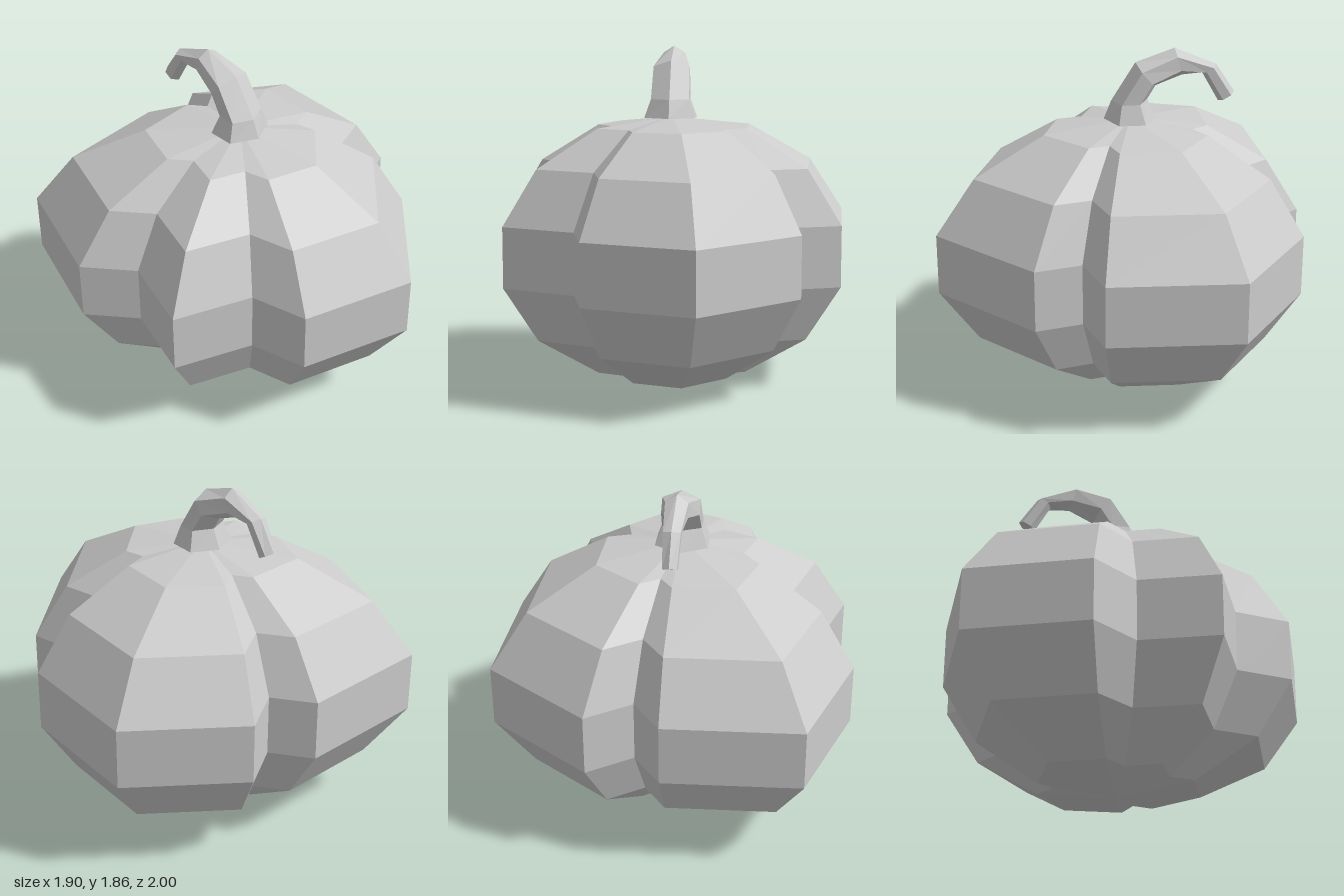
import * as THREE from 'three';

const material = new THREE.MeshStandardMaterial({ color: 0xcccccc, flatShading: true });

// Skin a stack of equal-length rings (bottom to top), closed with a pole at each end
function loft(rings, startPole, endPole, name) {
  const n = rings[0].length;
  const points = [...rings.flat(), startPole, endPole];
  const index = [];
  const start = rings.length * n, end = start + 1, last = start - n;
  for (let i = 0; i < n; i++) {
    const j = (i + 1) % n;
    for (let r = 0; r < rings.length - 1; r++) {
      const a = r * n + i, b = r * n + j;
      index.push(a, b, b + n, a, b + n, a + n);
    }
    index.push(start, j, i, last + i, last + j, end);
  }
  const indexed = new THREE.BufferGeometry().setFromPoints(points);
  indexed.setIndex(index);
  const geometry = indexed.toNonIndexed();
  geometry.computeVertexNormals();
  const mesh = new THREE.Mesh(geometry, material);
  mesh.name = name;
  return mesh;
}

const V = (x, y, z) => new THREE.Vector3(x, y, z);

// Lobed gourd body: one uneven outline scaled along a seven-step round profile
function createBody() {
  const cx = -0.01, cz = -0.065, midY = 0.742, steps = 7;
  const outline = [
    [-0.40, 0.81], [0.20, 1.0], [0.715, 0.495],   // front lobe
    [0.65, 0.245],                                // groove
    [0.93, 0.15], [0.95, -0.57], [0.385, -0.96],  // left lobe
    [0.15, -0.80],                                // groove
    [-0.005, -1.0], [-0.74, -0.955], [-0.955, -0.32], // back lobe
    [-0.755, -0.075],                             // groove
    [-0.885, 0.34],                               // right lobe
    [-0.475, 0.50],                               // groove
  ];
  const rings = [];
  for (let k = 1; k < steps; k++) {
    const angle = (k / steps) * Math.PI;
    const scale = Math.sin(angle) / Math.sin((3 / steps) * Math.PI);
    const y = midY - Math.cos(angle) * 0.755;
    rings.push(outline.map(([x, z]) => V(cx + (x - cx) * scale, y, cz + (z - cz) * scale)));
  }
  return loft(rings, V(cx, 0, cz), V(cx, 1.48, cz), 'body');
}

// Six-sided stem, tapering and hooking over towards the back
function createStem() {
  const cx = -0.012, sides = 6;
  // outer z, outer y, inner z, inner y, half width
  const sections = [
    [0.08, 1.475, -0.205, 1.475, 0.14],
    [0.04, 1.576, -0.155, 1.58, 0.105],
    [-0.09, 1.785, -0.20, 1.655, 0.1],
    [-0.30, 1.86, -0.34, 1.71, 0.06],
    [-0.525, 1.765, -0.45, 1.72, 0.045],
    [-0.627, 1.61, -0.54, 1.56, 0.038],
  ];
  const centre = ([z0, y0, z1, y1]) => V(cx, (y0 + y1) / 2, (z0 + z1) / 2);
  const rings = sections.map((s) => {
    const [z0, y0, z1, y1, w] = s;
    const c = centre(s);
    return Array.from({ length: sides }, (_, i) => {
      const t = (i / sides) * Math.PI * 2;
      return V(
        cx + (Math.sin(t) * w) / Math.sin(Math.PI / 3),
        c.y + (Math.cos(t) * (y0 - y1)) / 2,
        c.z + (Math.cos(t) * (z0 - z1)) / 2
      );
    });
  });
  return loft(rings, centre(sections[0]), centre(sections[sections.length - 1]), 'stem');
}

export function createModel() {
  const group = new THREE.Group();
  group.name = 'pumpkin';
  group.add(createBody(), createStem());
  return group;
}
